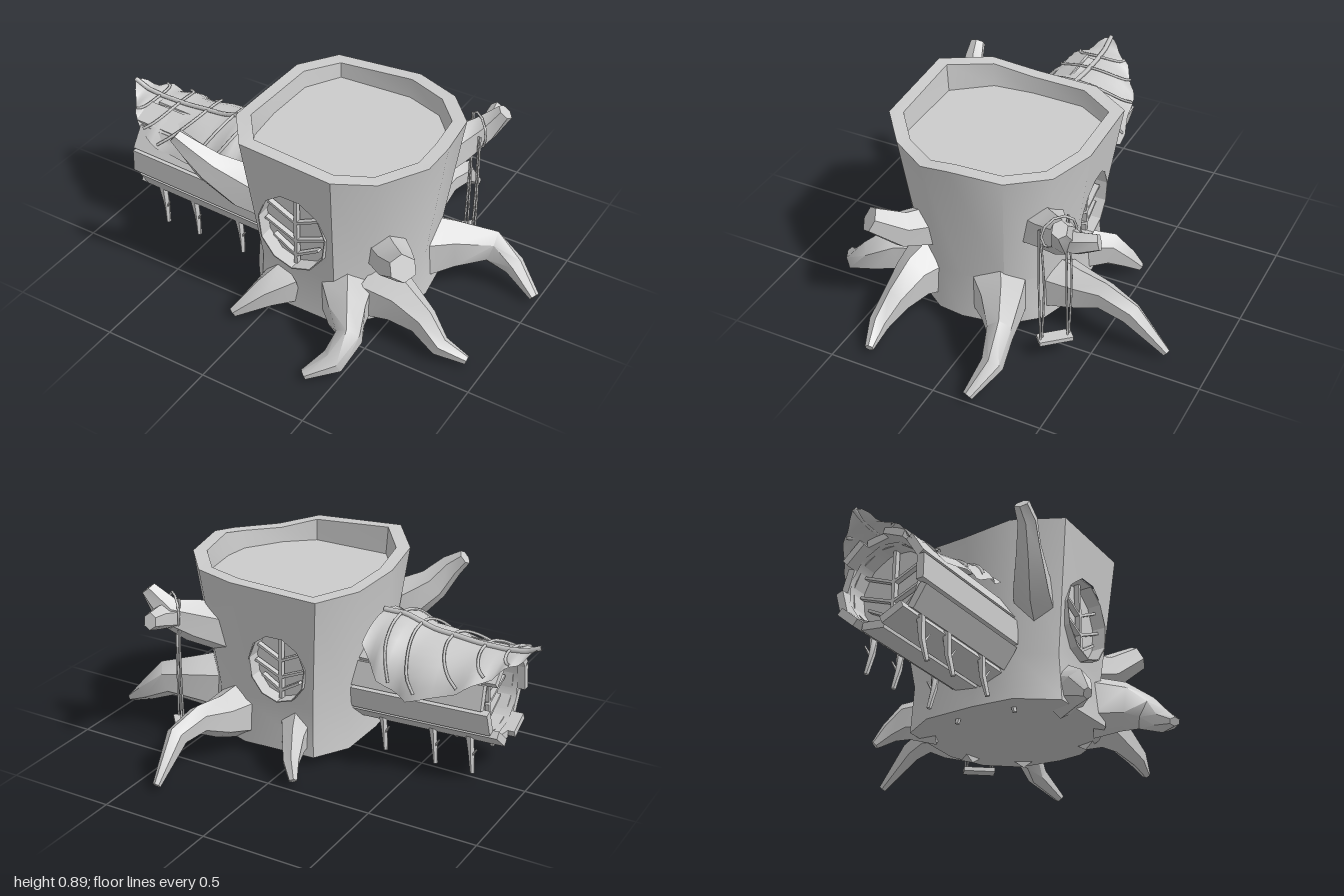
import * as THREE from 'three';
import { mergeGeometries, toCreasedNormals } from 'three/addons/utils/BufferGeometryUtils.js';

const grey = new THREE.MeshStandardMaterial({ color: 0xcccccc });
const thin = new THREE.MeshStandardMaterial({ color: 0xcccccc, side: THREE.DoubleSide });
const V = (x, y, z) => new THREE.Vector3(x, y, z);
const lerp = THREE.MathUtils.lerp;

function add(parent, name, geo, mat = grey) {
  const mesh = new THREE.Mesh(geo, mat);
  mesh.name = name;
  parent.add(mesh);
  return mesh;
}

// Skins a list of closed rings and caps both ends; skip(i, j) leaves a panel open
function loft(rings, skip = () => false) {
  const pos = [], n = rings[0].length, last = rings.length - 1;
  const tri = (...pts) => pts.forEach(p => pos.push(p.x, p.y, p.z));
  const mid = ring => ring.reduce((s, p) => s.add(p), V(0, 0, 0)).divideScalar(n);
  const c0 = mid(rings[0]), c1 = mid(rings[last]);
  for (let j = 0; j < n; j++) {
    const k = (j + 1) % n;
    for (let i = 0; i < last; i++) {
      if (skip(i, j)) continue;
      const a = rings[i][j], b = rings[i + 1][j], c = rings[i + 1][k], d = rings[i][k];
      tri(a, b, c);
      tri(a, c, d);
    }
    tri(c0, rings[0][j], rings[0][k]);
    tri(c1, rings[last][k], rings[last][j]);
  }
  const g = new THREE.BufferGeometry();
  g.setAttribute('position', new THREE.Float32BufferAttribute(pos, 3));
  return g;
}

// Tapered limb through stations [x, y, z, halfWidth, halfHeight]
function limb(st, sides = 6) {
  const pts = st.map(s => V(s[0], s[1], s[2]));
  const rings = pts.map((p, i) => {
    const t = pts[Math.min(i + 1, pts.length - 1)].clone().sub(pts[Math.max(i - 1, 0)]).normalize();
    const side = t.clone().cross(V(0, 1, 0)).normalize(), up = side.clone().cross(t);
    return Array.from({ length: sides }, (_, j) => {
      const a = (j + 0.5) / sides * Math.PI * 2;
      return p.clone().addScaledVector(side, Math.cos(a) * st[i][3]).addScaledVector(up, Math.sin(a) * st[i][4]);
    });
  });
  return toCreasedNormals(loft(rings), 0.75);
}

const tube = (pts, r, seg = 8) => new THREE.TubeGeometry(new THREE.CatmullRomCurve3(pts), seg, r, 5);

// Stump rim outline [x, z, rim height]
const OUT = [[-.26, -.16, .84], [-.15, -.345, .83], [.26, -.37, .85], [.47, -.3, .845], [.61, -.14, .855], [.645, .09, .87],
  [.63, .23, .845], [.5, .42, .83], [.35, .545, .86], [-.09, .545, .89], [-.24, .35, .87], [-.265, .13, .84]];
const CX = .18, CZ = .09;
const ring = (s, y) => OUT.map(o => V(CX + (o[0] - CX) * s, y ?? o[2], CZ + (o[1] - CZ) * s));
// Round windows: panel index, centre, radii, facing
const WINDOWS = [
  { j: 8, x: .135, y: .49, rx: .165, ry: .19, dir: 1 },
  { j: 1, x: .07, y: .46, rx: .14, ry: .16, dir: -1 }];

function oval(w) {
  return Array.from({ length: 11 }, (_, i) => {
    const a = (i + .25) / 11 * Math.PI * 2;
    return new THREE.Vector2(w.x + Math.cos(a) * w.rx, w.y + Math.sin(a) * w.ry);
  });
}

function stump(root) {
  const rings = [ring(.85, .05), ring(.82, .27), ring(1), ring(.87), ring(.85, .76)];
  const parts = [loft(rings, (i, j) => i === 1 && WINDOWS.some(w => w.j === j))];
  for (const w of WINDOWS) {
    // Wall panel pierced by the window
    const a = rings[1][w.j], b = rings[1][w.j + 1], c = rings[2][w.j + 1], d = rings[2][w.j];
    const shape = new THREE.Shape([a, b, c, d].map(p => new THREE.Vector2(p.x, p.y)));
    shape.holes.push(new THREE.Path(oval(w)));
    const g = new THREE.ShapeGeometry(shape), p = g.attributes.position;
    for (let i = 0; i < p.count; i++) {
      const top = lerp(d.y, c.y, (p.getX(i) - d.x) / (c.x - d.x)), v = (p.getY(i) - a.y) / (top - a.y);
      const u = (p.getX(i) - lerp(a.x, d.x, v)) / (lerp(b.x, c.x, v) - lerp(a.x, d.x, v));
      p.setZ(i, lerp(lerp(a.z, b.z, u), lerp(d.z, c.z, u), v));
    }
    if (w.dir < 0) g.setIndex([...g.index.array].reverse());
    g.deleteAttribute('uv');
    g.deleteAttribute('normal');
    parts.push(g.toNonIndexed());
    const z = lerp(a.z, d.z, (w.y - a.y) / (d.y - a.y));
    root.add(leafWindow(w.rx, w.ry, w.dir, V(w.x, w.y, z)));
  }
  add(root, 'stump', toCreasedNormals(mergeGeometries(parts), .6));
}

// Recessed pane with a leaf-vein lattice
function leafWindow(rx, ry, dir, at) {
  const g = new THREE.Group();
  g.name = 'window';
  const edge = oval({ x: 0, y: 0, rx, ry });
  add(g, 'pane', new THREE.ShapeGeometry(new THREE.Shape(edge)), thin).position.z = -.05;
  const reveal = new THREE.Shape(edge.map(p => p.clone().multiplyScalar(1.03)));
  reveal.holes.push(new THREE.Path(edge));
  add(g, 'windowFrame', new THREE.ExtrudeGeometry(reveal, { depth: .075, bevelEnabled: false })).position.z = -.06;
  const bar = (x0, y0, x1, y1, t) => {
    const m = add(g, 'windowBar', new THREE.BoxGeometry(Math.hypot(x1 - x0, y1 - y0), t, .025));
    m.position.set((x0 + x1) / 2, (y0 + y1) / 2, -.03);
    m.rotation.z = Math.atan2(y1 - y0, x1 - x0);
  };
  bar(0, -ry * .98, 0, ry * .98, .016);
  for (const s of [-1, 1]) for (const [y, k] of [[-.75, .68], [-.35, .93], [.15, .85]])
    bar(0, y * ry, s * k * rx, (y + .36) * ry, .012);
  g.position.copy(at);
  if (dir < 0) g.rotation.y = Math.PI;
  return g;
}

const ROOTS = [
  [[.3, .17, -.2, .13, .15], [.33, .19, -.38, .09, .1], [.36, .22, -.5, .06, .07], [.385, .19, -.63, .045, .06], [.38, .03, -.8, .018, .02]],
  [[.48, .19, -.05, .14, .17], [.6, .2, -.12, .1, .13], [.75, .2, -.19, .06, .09], [.86, .12, -.21, .05, .05], [.99, .03, -.16, .025, .02]],
  [[.45, .18, .3, .14, .16], [.58, .18, .33, .09, .12], [.7, .14, .35, .06, .08], [.8, .07, .38, .045, .05], [.92, .03, .36, .02, .02]],
  [[.35, .17, .4, .13, .15], [.42, .17, .52, .09, .12], [.48, .14, .6, .06, .08], [.46, .07, .7, .06, .05], [.37, .02, .79, .025, .02]],
  [[.06, .14, .42, .11, .12], [0, .11, .53, .06, .08], [-.1, .025, .63, .02, .025]],
  [[.02, .14, -.22, .08, .12], [-.04, .14, -.35, .055, .09], [-.07, .09, -.42, .04, .05], [-.11, .03, -.47, .02, .02]]];
const BRANCHES = [
  [[-.05, .52, .36, .1, .13], [-.17, .56, .41, .09, .12], [-.3, .66, .48, .06, .08], [-.37, .75, .52, .045, .055], [-.43, .8, .53, .035, .035]],
  [[.45, .41, .28, .1, .1], [.57, .43, .38, .085, .085], [.66, .51, .48, .06, .06]],
  [[.4, .55, -.2, .12, .12], [.5, .6, -.31, .08, .1], [.58, .66, -.4, .06, .07], [.66, .76, -.42, .035, .04]],
  [[.55, .64, -.38, .06, .06], [.58, .65, -.46, .045, .055], [.56, .67, -.55, .03, .04]]];

function swing(root) {
  const g = new THREE.Group();
  g.name = 'swing';
  for (const [x, z, top] of [[.52, -.4, .73], [.6, -.31, .68]]) {
    for (const s of [-.008, .008])
      add(g, 'rope', tube([V(x + s, .08, z), V(x + s, .4, z + s), V(x + s * .5, top, z + .01)], .005));
  }
  const wrap = add(g, 'ropeWrap', new THREE.TorusGeometry(.08, .006, 5, 10));
  wrap.position.set(.56, .66, -.37);
  wrap.rotation.y = -.7 + Math.PI;
  const seat = add(g, 'swingSeat', new THREE.BoxGeometry(.15, .02, .06));
  seat.position.set(.56, .085, -.355);
  seat.rotation.y = -.85;
  root.add(g);
}

// Hollow log of separate staves on twig legs
function logTunnel(root) {
  const g = new THREE.Group();
  g.name = 'logTunnel';
  const N = 11, ends = [.0, -.03, .02, -.01, .03];
  for (let k = 0; k < N; k++) {
    const a = k / N * Math.PI * 2 + Math.PI / 2, len = .69 + ends[k % 5];
    const stave = add(g, 'stave', new THREE.BoxGeometry(len, .035, .112));
    stave.position.set(-len / 2 + .34, Math.cos(a) * .2, Math.sin(a) * .2);
    stave.rotation.x = a;
  }
  const lining = add(g, 'logLining', new THREE.CylinderGeometry(.182, .182, .64, N, 1, true), thin);
  lining.rotation.z = Math.PI / 2;
  const door = leafWindow(.18, .18, 1, V(-.28, 0, 0));
  door.rotation.y = -Math.PI / 2;
  g.add(door);
  g.position.set(-.5, .37, .115);
  g.rotation.z = -.04;
  root.add(g);
  for (const x of [-.74, -.56, -.31, -.1]) for (const z of [0, .25]) {
    const lean = z ? .015 : -.015;
    add(root, 'twigLeg', limb([[x - lean, .22, z, .02, .02], [x, .12, z, .015, .015], [x + lean, .03, z + lean, .011, .011]], 5));
    add(root, 'twigSpur', limb([[x, .1, z, .007, .007], [x + lean * 2, .15, z + lean, .004, .004]], 4));
  }
}

// Leaf roof stations [x, ridge height, back spread, front spread]
const LEAF = [[-1, .64, 0, 0], [-.93, .61, .35, .38], [-.85, .6, .7, .75], [-.72, .6, 1.1, 1.0],
  [-.5, .62, 1.5, 1.1], [-.36, .66, 1.4, 1.1], [-.25, .66, .85, .9]];
function leafPoint(u, v, lift = 0) {
  const f = u * (LEAF.length - 1), i = Math.min(Math.floor(f), LEAF.length - 2);
  const [x, y, back, front] = LEAF[i].map((q, k) => lerp(q, LEAF[i + 1][k], f - i));
  const t = v * (v < 0 ? back : front);
  return V(x, y - .25 * (1 - Math.cos(t)) + lift * Math.cos(t), .09 + (.27 + lift) * Math.sin(t));
}

function leafRoof(root) {
  const g = new THREE.Group();
  g.name = 'leafRoof';
  const blade = new THREE.PlaneGeometry(1, 1, 24, 14), p = blade.attributes.position;
  for (let i = 0; i < p.count; i++) {
    const u = p.getX(i) + .5, v = -p.getY(i) * 2;
    const q = leafPoint(u, v, .012 * Math.sin(u * 32) * Math.abs(v));
    p.setXYZ(i, q.x, q.y, q.z);
  }
  blade.computeVertexNormals();
  add(g, 'leafBlade', blade, thin);
  const along = n => Array.from({ length: n }, (_, i) => i / (n - 1));
  add(g, 'midrib', tube(along(13).map(u => leafPoint(u, 0, .008)), .012, 30));
  for (const u of [.32, .47, .6, .74, .87]) for (const s of [-1, 1])
    add(g, 'leafVein', tube(along(6).map(t => leafPoint(u - .1 * t * t, s * t * .92, .008)), .007, 12));
  root.add(g);
}

export function createModel() {
  const root = new THREE.Group();
  root.name = 'stumpHouse';
  stump(root);
  ROOTS.forEach(r => add(root, 'root', limb(r)));
  BRANCHES.forEach(b => add(root, 'branch', limb(b)));
  swing(root);
  logTunnel(root);
  leafRoof(root);
  return root;
}
